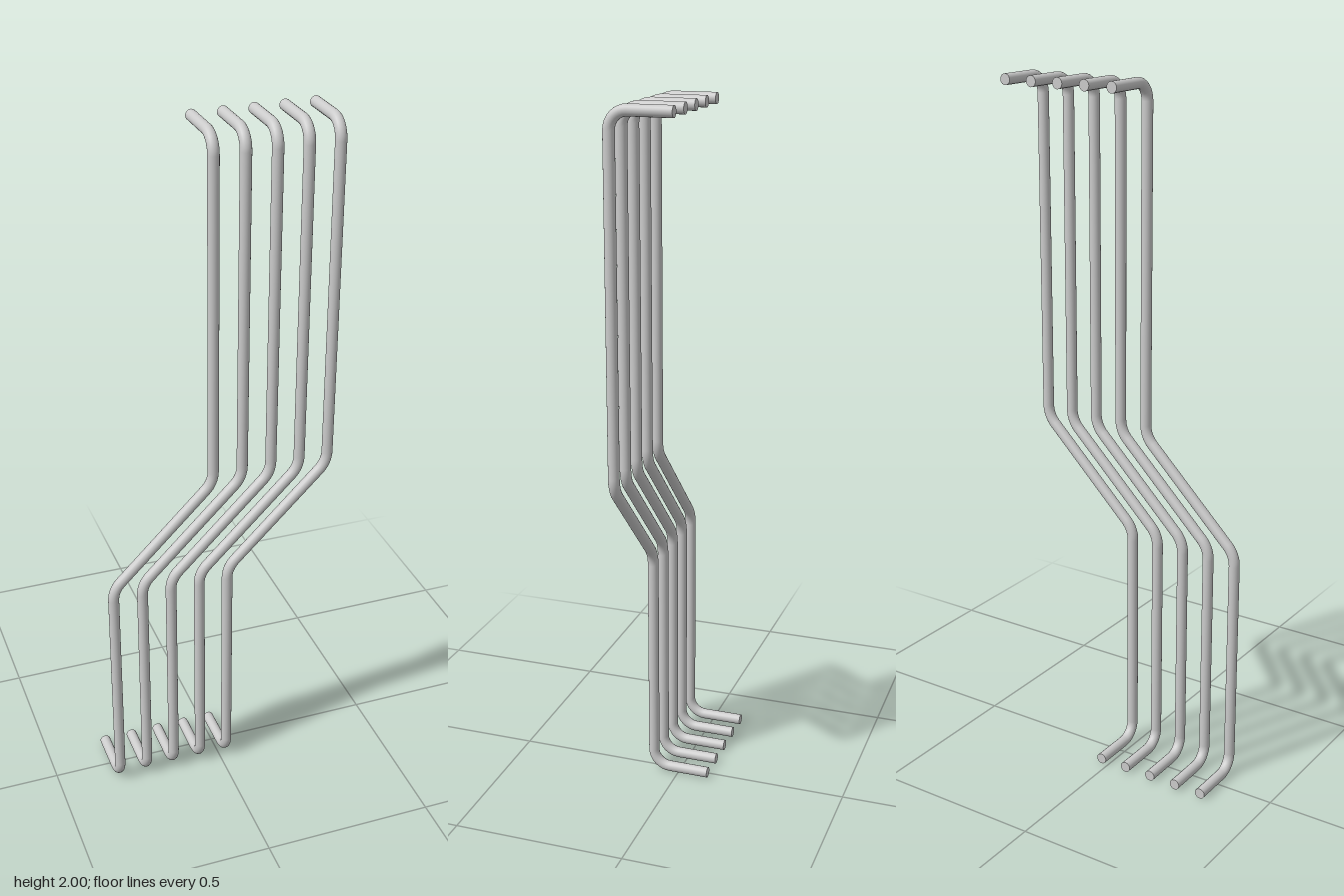
import * as THREE from 'three';

const V = (x, y, z) => new THREE.Vector3(x, y, z);
const RADIUS = 0.0155, SIDES = 20, BEND_STEPS = 8;

// Centre line of straight runs joined by circular bends, sampled only where it turns
class BentLine extends THREE.Curve {
  constructor(corners, bendRadii) {
    super();
    this.pts = [corners[0]];
    this.tans = [corners[1].clone().sub(corners[0]).normalize()];
    for (let i = 1; i < corners.length - 1; i++) {
      const a = corners[i].clone().sub(corners[i - 1]).normalize();
      const b = corners[i + 1].clone().sub(corners[i]).normalize();
      const angle = a.angleTo(b), r = bendRadii[i - 1];
      const side = b.clone().addScaledVector(a, -a.dot(b)).normalize();
      const start = corners[i].clone().addScaledVector(a, -r * Math.tan(angle / 2));
      for (let k = 0; k <= BEND_STEPS; k++) {
        const t = angle * k / BEND_STEPS;
        this.pts.push(start.clone().addScaledVector(a, r * Math.sin(t)).addScaledVector(side, r * (1 - Math.cos(t))));
        this.tans.push(a.clone().multiplyScalar(Math.cos(t)).addScaledVector(side, Math.sin(t)));
      }
    }
    const n = corners.length;
    this.pts.push(corners[n - 1]);
    this.tans.push(corners[n - 1].clone().sub(corners[n - 2]).normalize());
  }
  get count() { return this.pts.length - 1; }
  getPoint(t, target = V(0, 0, 0)) { return target.copy(this.pts[Math.round(t * this.count)]); }
  getPointAt(t, target) { return this.getPoint(t, target); }
  getTangentAt(t, target = V(0, 0, 0)) { return target.copy(this.tans[Math.round(t * this.count)]); }
}

export function createModel() {
  const model = new THREE.Group();
  model.name = 'bentRods';
  const material = new THREE.MeshStandardMaterial({ color: 0xcccccc });

  const back = -0.0925, front = 0.077;
  const low = RADIUS, high = 2 - RADIUS;
  const spacing = 0.0852, offset = 0.298;

  // One rod: rear hook, lower run, diagonal, upper run, rear hook
  const line = new BentLine([
    V(0, low, back), V(0, low, front), V(0, 0.7, front),
    V(offset, 0.7 + offset, front), V(offset, high, front), V(offset, high, back),
  ], [0.05, 0.08, 0.08, 0.05]);
  const rodGeometry = new THREE.TubeGeometry(line, line.count, RADIUS, SIDES, false);
  const capGeometry = new THREE.CircleGeometry(RADIUS, SIDES).rotateY(Math.PI);

  for (let i = 0; i < 5; i++) {
    const rod = new THREE.Group();
    rod.name = `rod${i + 1}`;
    rod.position.x = -offset / 2 + (i - 2) * spacing;
    const tube = new THREE.Mesh(rodGeometry, material);
    tube.name = 'tube';
    rod.add(tube);

    // Flat rod ends
    for (const [name, x, y] of [['lowerEnd', 0, low], ['upperEnd', offset, high]]) {
      const cap = new THREE.Mesh(capGeometry, material);
      cap.name = name;
      cap.position.set(x, y, back);
      rod.add(cap);
    }
    model.add(rod);
  }
  return model;
}
